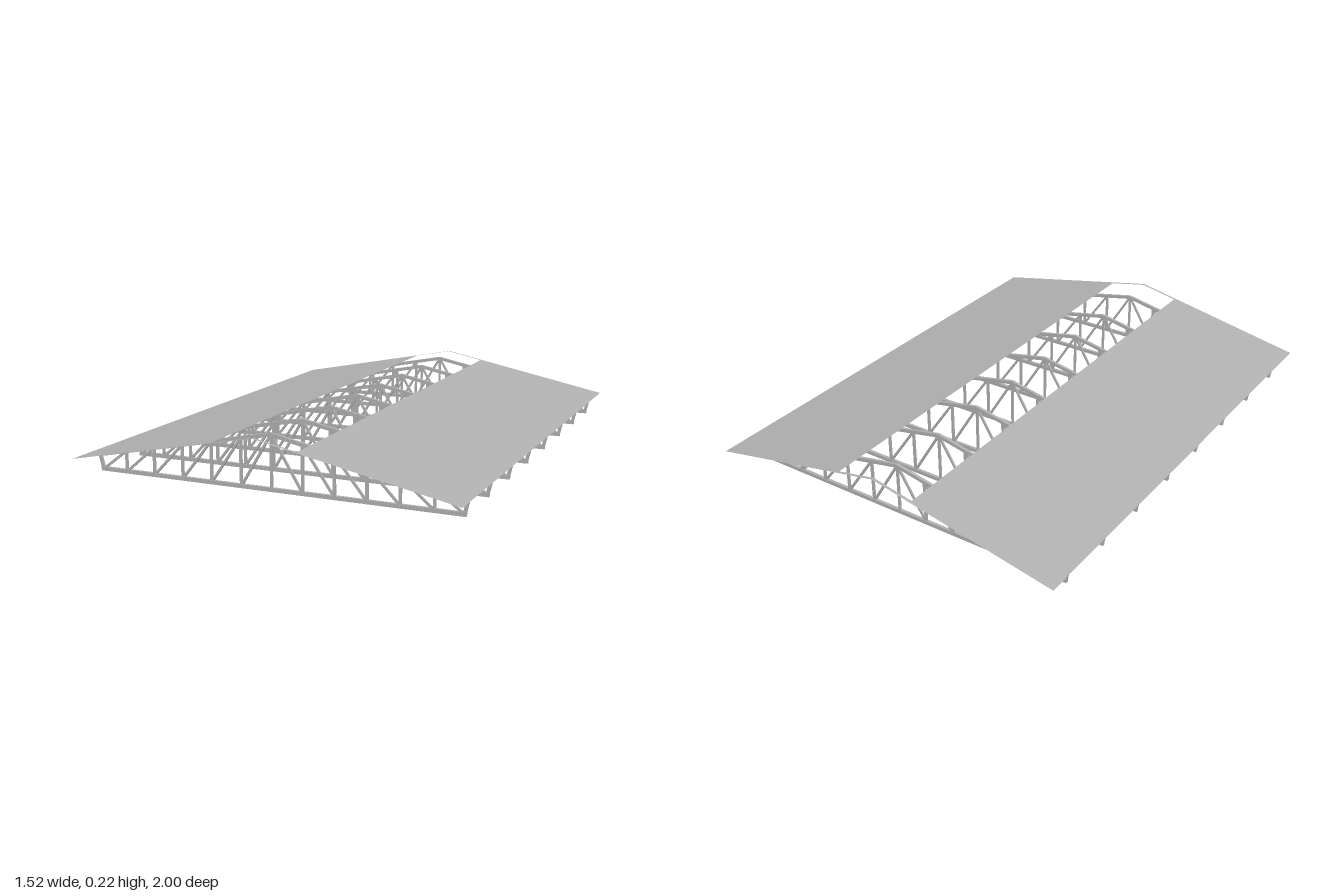
import * as THREE from 'three';

const SLOPE = 0.2;       // roof pitch
const BAY = 0.123;       // spacing of the truss verticals
const APEX = 0.216;      // top of the upper chord
const CHORD = 0.014;     // chord height
const roofY = x => 0.225 - SLOPE * Math.abs(x);
const chordY = x => APEX - CHORD / 2 - SLOPE * Math.abs(x);

// Square bar between two points in the truss plane
function bar(name, a, b, width, depth, material) {
  const dx = b[0] - a[0], dy = b[1] - a[1];
  const mesh = new THREE.Mesh(new THREE.BoxGeometry(Math.hypot(dx, dy), width, depth), material);
  mesh.position.set((a[0] + b[0]) / 2, (a[1] + b[1]) / 2, 0);
  mesh.rotation.z = Math.atan2(dy, dx);
  mesh.name = name;
  return mesh;
}

// Upper chord: one mitred chevron
function upperChord(material) {
  const e = 0.74, y = APEX - SLOPE * e;
  const shape = new THREE.Shape([
    [-e, y], [-e + 0.003, y - CHORD], [0, APEX - CHORD],
    [e - 0.003, y - CHORD], [e, y], [0, APEX],
  ].map(p => new THREE.Vector2(...p)));
  const geometry = new THREE.ExtrudeGeometry(shape, { depth: 0.012, bevelEnabled: false });
  geometry.translate(0, 0, -0.006);
  const mesh = new THREE.Mesh(geometry, material);
  mesh.name = 'upperChord';
  return mesh;
}

function makeTruss(material) {
  const truss = new THREE.Group();
  truss.name = 'truss';
  const foot = 0.0075;
  truss.add(upperChord(material));
  truss.add(bar('lowerChord', [-0.728, foot], [0.728, foot], 0.015, 0.012, material));
  truss.add(bar('kingPost', [0, foot], [0, chordY(0)], 0.009, 0.008, material));
  for (const s of [-1, 1]) {
    for (let i = 1; i <= 5; i++) {
      const x = s * i * BAY;
      truss.add(bar('vertical', [x, foot], [x, chordY(x)], 0.01, 0.008, material));
    }
    // Diagonals fall outward from each upper node
    for (let i = 0; i <= 5; i++) {
      const x = s * i * BAY, outer = s * Math.min((i + 1) * BAY, 0.72);
      truss.add(bar('diagonal', [x, chordY(x)], [outer, foot], 0.009, 0.007, material));
    }
    truss.add(bar('endPost', [s * 0.721, foot], [s * 0.734, chordY(0.734)], 0.012, 0.01, material));
  }
  return truss;
}

// Flat sheet lying on the roof slope; does not cross the ridge
function sheet(name, x0, x1, z0, z1, material) {
  const geometry = new THREE.PlaneGeometry(x1 - x0, z1 - z0);
  geometry.rotateX(-Math.PI / 2);
  geometry.translate((x0 + x1) / 2, 0, (z0 + z1) / 2);
  const p = geometry.attributes.position;
  for (let i = 0; i < p.count; i++) p.setY(i, roofY(p.getX(i)));
  geometry.computeVertexNormals();
  const mesh = new THREE.Mesh(geometry, material);
  mesh.name = name;
  return mesh;
}

export function createModel() {
  const model = new THREE.Group();
  model.name = 'trussRoof';
  const steel = new THREE.MeshStandardMaterial({ color: 0xb0b0b0, side: THREE.DoubleSide });
  steel.name = 'steel grey';

  // Eight trusses along the length
  for (let i = 0; i < 8; i++) {
    const truss = makeTruss(steel);
    truss.position.z = (i - 3.5) * 0.2463;
    model.add(truss);
  }

  // Roof sheets with an open ridge, closed by narrow strips at both ends
  const gap = 0.167, eave = 0.76, rim = 0.988;
  model.add(sheet('rightRoofSheet', -eave, -gap, -1, 1, steel));
  model.add(sheet('leftRoofSheet', gap, eave, -1, 1, steel));
  for (const [z0, z1] of [[-1, -rim], [rim, 1]]) {
    model.add(sheet('ridgeEndStrip', -gap, 0, z0, z1, steel));
    model.add(sheet('ridgeEndStrip', 0, gap, z0, z1, steel));
  }
  return model;
}
